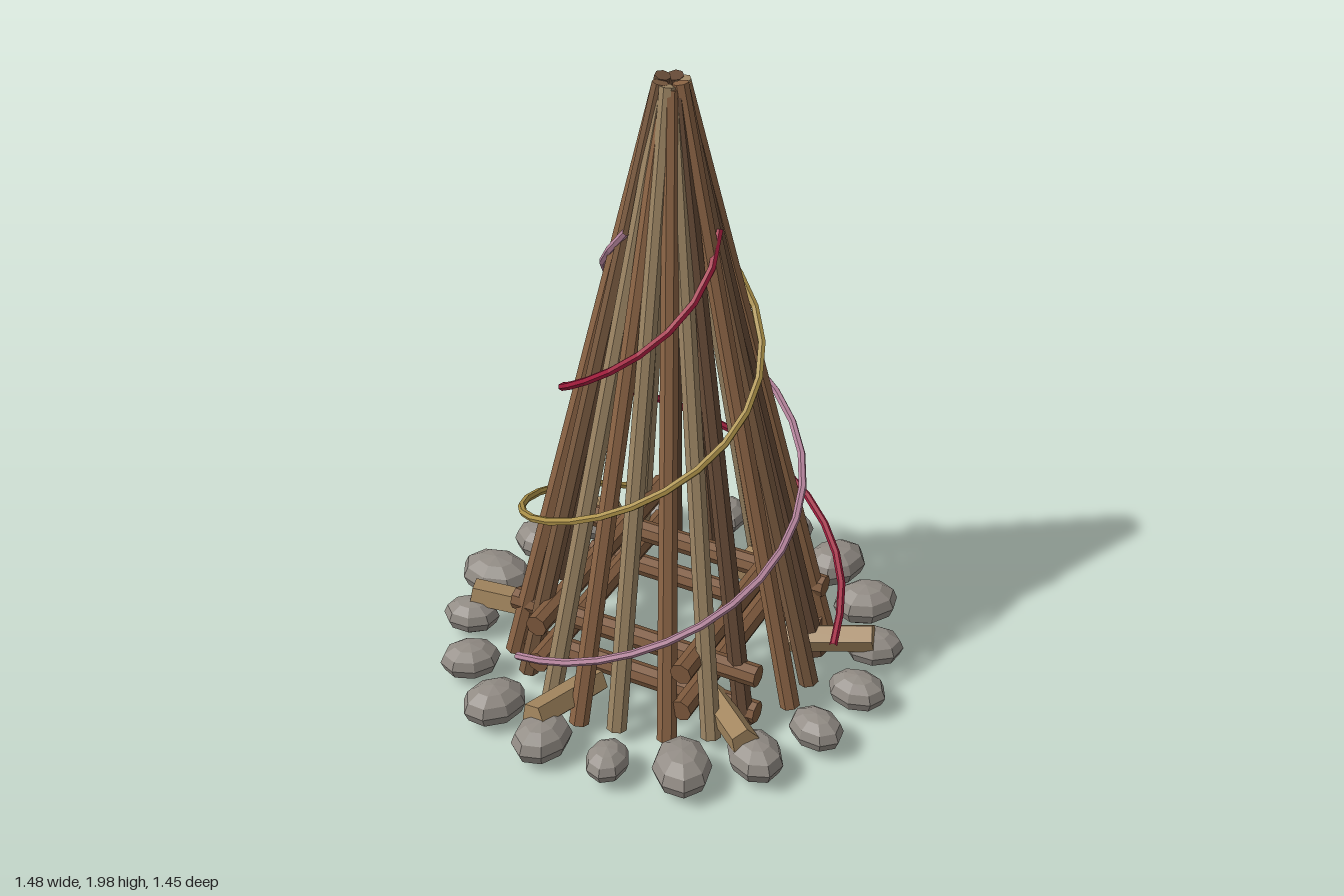
import * as THREE from 'three';

const mat = (name, color) => Object.assign(new THREE.MeshStandardMaterial({ color, flatShading: true }), { name });
const V = (x, y, z) => new THREE.Vector3(x, y, z);
const polar = (r, a, y) => V(r * Math.cos(a), y, r * Math.sin(a));
const RAD = Math.PI / 180;

export function createModel() {
  const model = new THREE.Group();
  const wood = {
    a: mat('brown wood', 0x8a6344),
    b: mat('dark wood', 0x654a36),
    c: mat('pale wood', 0x9a8362),
    d: mat('umber wood', 0x78593f),
  };
  const logMat = mat('log bark', 0x7c583c);
  const splitMat = mat('split wood', 0xa3865f);
  const stoneMat = mat('stone', 0x918b84);

  // Round or faceted stick running from point p to point q
  function stick(name, p, q, rp, rq, sides, material, parent) {
    const dir = q.clone().sub(p);
    const mesh = new THREE.Mesh(new THREE.CylinderGeometry(rq, rp, dir.length(), sides), material);
    mesh.position.copy(p).add(q).multiplyScalar(0.5);
    mesh.quaternion.setFromUnitVectors(V(0, 1, 0), dir.normalize());
    mesh.name = name;
    parent.add(mesh);
    return mesh;
  }
  function group(name) {
    const g = new THREE.Group();
    g.name = name;
    model.add(g);
    return g;
  }

  // Cone of leaning poles, one letter of wood tone per pole
  const poles = group('poles');
  const tones = 'dabcacacdabcbccbbcbcab';
  for (let i = 0; i < 22; i++) {
    const a = (i / 22) * Math.PI * 2;
    const foot = polar(0.475 + 0.015 * Math.sin(i * 2.3), a + 0.03 * Math.sin(i * 4.1), 0.05);
    const tip = polar(0.033, a, 1.96 + 0.03 * Math.sin(i * 1.7));
    stick('pole', foot, tip, 0.031, 0.024, 7, wood[tones[i]], poles);
  }

  // Crossed log layers inside the cone
  const crib = group('logCrib');
  for (let layer = 0; layer < 4; layer++) {
    const y = 0.09 + layer * 0.07;
    for (const s of [-0.243, 0.243]) {
      const alongX = layer % 2 === 0;
      stick('log', alongX ? V(-0.415, y, s) : V(s, y, -0.415),
        alongX ? V(0.415, y, s) : V(s, y, 0.415), 0.035, 0.035, 8, logMat, crib);
    }
  }

  // Split firewood poking out between the poles
  const firewood = group('firewood');
  for (let i = 0; i < 6; i++) {
    const a = (-17 + i * 60) * RAD;
    stick('splitLog', polar(0.35, a, 0.1), polar(0.635, a, 0.14), 0.045, 0.045, 5, splitMat, firewood);
  }

  // Ring of stones, given by half width across the ring
  const stones = group('stoneRing');
  const sizes = [0.073, 0.072, 0.081, 0.089, 0.065, 0.082, 0.082, 0.074, 0.07,
    0.093, 0.073, 0.076, 0.066, 0.066, 0.081, 0.086, 0.083, 0.073];
  const stoneGeo = new THREE.SphereGeometry(1, 8, 6);
  sizes.forEach((s, i) => {
    const a = i * 20 * RAD;
    const stone = new THREE.Mesh(stoneGeo, stoneMat);
    stone.name = 'stone';
    stone.position.copy(polar(0.635, a, 0.08));
    stone.rotation.y = -a;
    stone.scale.set(s * 1.27, Math.min(s * 0.8, 0.068), s);
    stones.add(stone);
  });

  // Three cords winding once around the cone as they rise
  const cords = [
    ['redCord', 0, mat('red cord', 0xa01c3c)],
    ['goldCord', -120, mat('gold cord', 0xab9048)],
    ['pinkCord', 120, mat('pink cord', 0xb5849c)],
  ];
  for (const [name, start, material] of cords) {
    const pts = [];
    for (let i = 0; i <= 20; i++) {
      const t = i / 20;
      pts.push(polar(0.55 - 0.4 * t, start * RAD - t * Math.PI * 2, 0.22 + 1.34 * t));
    }
    const mesh = new THREE.Mesh(
      new THREE.TubeGeometry(new THREE.CatmullRomCurve3(pts), 24, 0.012, 6), material);
    mesh.name = name;
    model.add(mesh);
  }
  return model;
}
